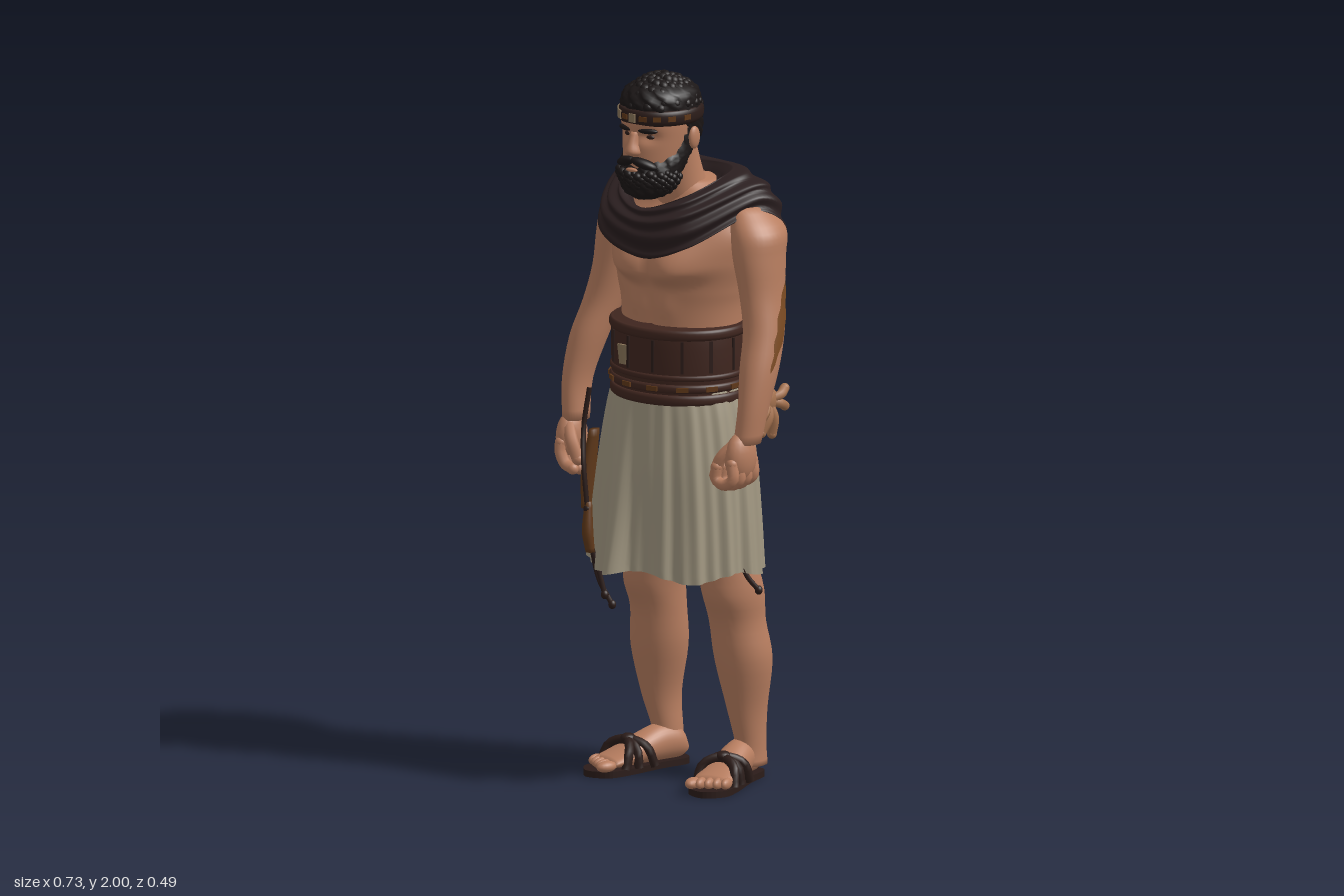
import * as THREE from 'three';
import { mergeGeometries } from 'three/addons/utils/BufferGeometryUtils.js';

const V = (x, y, z) => new THREE.Vector3(x, y, z);
const mat = (name, color, side = THREE.FrontSide) => {
  const m = new THREE.MeshStandardMaterial({ color, side });
  m.name = name;
  return m;
};
const bell = (d, w) => Math.exp(-(d * d) / (w * w));

// Smooth skin through elliptical rings [y, centreX, centreZ, radiusX, radiusZ], bottom to top.
function loft(rows, { n = 32, m = 28, mod, cap = true, a0 = 0, a1 = 0, t0 = 0, t1 = 1 } = {}) {
  const mid = new THREE.CatmullRomCurve3(rows.map(r => V(r[1], r[0], r[2])), false, 'catmullrom');
  const rad = new THREE.CatmullRomCurve3(rows.map(r => V(r[3], 0, r[4])), false, 'catmullrom');
  const full = a0 === a1, cols = full ? n : n + 1, pos = [], idx = [];
  for (let i = 0; i <= m; i++) {
    const t = t0 + (t1 - t0) * i / m, c = mid.getPoint(t), r = rad.getPoint(t);
    for (let j = 0; j < cols; j++) {
      const a = full ? j / n * Math.PI * 2 : a0 + (a1 - a0) * j / n;
      const p = V(c.x + r.x * Math.sin(a), c.y, c.z + r.z * Math.cos(a));
      if (mod) mod(p, a, t, c, r);
      pos.push(p.x, p.y, p.z);
    }
  }
  for (let i = 0; i < m; i++) for (let j = 0; j < n; j++) {
    const k = (j + 1) % cols, a = i * cols + j, b = i * cols + k;
    idx.push(a, b, a + cols, b, b + cols, a + cols);
  }
  if (cap && full) [0, m].forEach((i, top) => {
    const c = mid.getPoint(top ? t1 : t0), id = pos.length / 3;
    pos.push(c.x, c.y, c.z);
    for (let j = 0; j < n; j++) {
      const a = i * cols + j, b = i * cols + (j + 1) % cols;
      top ? idx.push(id, a, b) : idx.push(id, b, a);
    }
  });
  const g = new THREE.BufferGeometry();
  g.setAttribute('position', new THREE.Float32BufferAttribute(pos, 3));
  g.setIndex(idx);
  g.computeVertexNormals();
  return g;
}
const tube = (pts, r, seg = 14) => new THREE.TubeGeometry(
  new THREE.CatmullRomCurve3(pts.map(p => V(...p))), seg, r, 8);
const ball = (x, y, z, rx, ry, rz) => new THREE.SphereGeometry(1, 18, 12).scale(rx, ry, rz).translate(x, y, z);
const finger = (pts, r) => mergeGeometries([tube(pts, r), ball(...pts[pts.length - 1], r, r, r), ball(...pts[0], r, r, r)]);

export function createModel() {
  const root = new THREE.Group();
  const skin = mat('skin', 0xb87e60), hair = mat('black hair', 0x1b1616);
  const cloak = mat('dark cloak', 0x2b1f20, THREE.DoubleSide), linen = mat('grey linen', 0xa29882, THREE.DoubleSide);
  const leather = mat('belt leather', 0x40261f), dark = mat('sandal leather', 0x2b1c19);
  const brown = mat('brown leather', 0x5f3819), tan = mat('tan trim', 0x8a765a);
  const scar = mat('scar brown', 0x7a4a22, THREE.DoubleSide), charm = mat('charm tan', 0xa5724f);
  const add = (name, geo, m, parent = root) => {
    const o = new THREE.Mesh(geo, m);
    o.name = name;
    parent.add(o);
    return o;
  };

  // Torso with chest muscles, belly line and spine groove
  add('torso', loft([[1.02, .012, -.01, .18, .14], [1.3, .012, -.025, .182, .143], [1.4, .01, -.03, .2, .148],
    [1.48, .01, -.038, .222, .158], [1.56, .005, -.052, .235, .143], [1.63, 0, -.06, .19, .11], [1.69, 0, -.05, .09, .085]],
  { n: 72, m: 64, mod: (p, a) => {
    const f = Math.cos(a), x = p.x - .01, pec = THREE.MathUtils.smoothstep(p.y, 1.395 + x * x, 1.445 + x * x) * bell(p.y - 1.46, .1);
    if (f > 0) p.z += f * (.044 * bell(Math.abs(x) - .085, .078) * pec - .01 * bell(x, .014)
      + .007 * bell(Math.abs(x) - .05, .035) * bell(p.y - 1.35, .04));
    else p.z -= f * .018 * bell(x, .025);
  } }), skin);
  add('neck', loft([[1.6, 0, -.05, .1, .09], [1.7, 0, -.01, .08, .078], [1.83, 0, .03, .075, .073]]), skin);

  // Arms: the right one has its shoulder set in and back, and hangs lower
  const leftArm = [[1.0, .317, .065, .034, .044], [1.1, .323, .045, .039, .05], [1.2, .316, .012, .05, .061],
    [1.3, .304, -.022, .053, .064], [1.4, .283, -.04, .056, .073], [1.5, .266, -.048, .065, .085],
    [1.57, .253, -.06, .068, .088], [1.635, .212, -.065, .042, .058]];
  const rightArm = [[.97, -.318, .035, .034, .044], [1.08, -.325, .02, .038, .05], [1.2, -.308, -.01, .05, .061],
    [1.3, -.285, -.045, .053, .064], [1.4, -.26, -.065, .056, .073], [1.5, -.242, -.075, .064, .084],
    [1.57, -.226, -.083, .066, .086], [1.635, -.19, -.08, .04, .055]];
  add('leftArm', loft(leftArm), skin);
  add('rightArm', loft(rightArm), skin);
  // Slanted, tapering mark on the outside of the left arm
  add('armScar', loft(leftArm, { n: 8, m: 24, a0: -.3, a1: .3, t0: .28, t1: .64, mod: (p, a, t, c, r) => {
    const q = (t - .28) / .36, b = 1.36 + q * .72 + a * (Math.sin(q * Math.PI) + .15 * Math.sin(q * 25));
    p.set(c.x + (r.x + .004) * Math.sin(b), c.y, c.z + (r.z + .004) * Math.cos(b));
  } }), scar);

  // Left hand half closed, right hand hanging open
  for (const [s, side, x0, y0, z0] of [[1, 'left', .003, 0, 0], [-1, 'right', -.02, -.04, -.04]]) {
    const hand = new THREE.Group();
    hand.name = side + 'Hand';
    hand.position.set(x0, y0, z0);
    root.add(hand);
    add('palm', ball(s * .306, .962, .084, .036, .07, .055), skin, hand);
    for (let i = 0; i < 4; i++) {
      const z = .042 + i * .029, y = .885 + .005 * Math.abs(i - 1.5);
      add('finger', finger(s > 0
        ? [[.312, .95, z], [.318, y + .015, z + .004], [.292, y - .002, z + .008], [.262, y + .01, z + .008], [.262, y + .045, z + .006]]
        : [[-.308, .95, z], [-.305, y + .03, z + .004], [-.288, y, z + .004], [-.262, y - .01, z + .004]], .0165), skin, hand);
    }
    add('thumb', finger([[s * .3, 1.0, .105], [s * .27, .96, .128], [s * .25, .91, .125]], .0175), skin, hand);
  }

  // Legs, feet and sandals
  for (const [s, side, dx, ankle] of [[1, 'left', 0, .176], [-1, 'right', .035, .155]]) {
    add(side + 'Leg', loft([[.04, ankle, -.12, .042, .053], [.1, ankle, -.12, .04, .048], [.2, .17, -.112, .052, .062],
      [.34, .167, -.1, .08, .081], [.45, .158, -.085, .077, .08], [.54, .157, -.07, .082, .086],
      [.66, .137, -.045, .084, .088], [.9, .1, -.02, .075, .08]].map(r => [r[0], r[1] * s + dx, ...r.slice(2)]),
    { mod: (p, a) => { if (Math.cos(a) > 0) p.z += .014 * Math.cos(a) * bell(p.y - .53, .05); } }), skin);
    const foot = new THREE.Group();
    foot.name = side + 'Foot';
    foot.position.set(s > 0 ? .187 : -.14, 0, -.005);
    foot.rotation.y = s * .24;
    root.add(foot);
    add('footBody', loft([[-.165, 0, -.045, .025, .02], [-.14, 0, -.06, .042, .046], [-.08, 0, -.065, .045, .052],
      [-.01, 0, -.055, .048, .042], [.06, 0, -.04, .057, .025], [.11, 0, -.032, .054, .014]], { m: 18 }).rotateX(Math.PI / 2), skin, foot);
    for (let i = 0; i < 5; i++)
      add('toe', ball(s * (-.042 + i * .022), .031, .13 - i * .008, i ? .0125 : .019, .016, i ? .027 : .032), skin, foot);
    const outline = new THREE.Shape();
    outline.moveTo(0, .172);
    outline.splineThru([[.042, .15], [.045, .06], [.06, -.06], [.055, -.13], [0, -.168], [-.055, -.13], [-.06, -.06],
      [-.045, .06], [-.042, .15], [0, .172]].map(p => new THREE.Vector2(...p)));
    add('sole', new THREE.ExtrudeGeometry(outline, { depth: .018, bevelEnabled: false, curveSegments: 5 }).rotateX(-Math.PI / 2), dark, foot);
    for (const [z1, z2, h] of [[-.025, .075, .086], [.075, -.025, .088], [.03, .03, .084]])
      add('strap', tube([[-.058, .015, z1], [-.047, h * .78, z1 * .8 + z2 * .2], [0, h, (z1 + z2) / 2],
        [.047, h * .78, z1 * .2 + z2 * .8], [.058, .015, z2]], .013), dark, foot);
    add('knot', ball(0, .09, .025, .022, .014, .022), dark, foot);
  }

  // Pleated skirt with a fold kicked out in front and one behind
  add('skirt', loft([[.605, .008, 0, .25, .19], [.75, .01, -.003, .241, .184], [.9, .012, -.005, .228, .178],
    [1.04, .012, -.008, .209, .168], [1.13, .012, -.008, .19, .158]],
  { n: 200, m: 26, cap: false, mod: (p, a, t, c) => {
    const k = 1 - t, w = 1 + k * .05 * Math.sin(2 * a) ** 2
      + k ** .5 * .046 * (.6 * Math.sin(a * 17 + Math.sin(a * 3) * 2) + .4 * Math.sin(a * 31 + 1 + t * 2));
    p.x = c.x + (p.x - c.x) * w;
    p.z = c.z + (p.z - c.z) * w;
    p.z += Math.cos(a) > 0 ? .047 * k * k * Math.exp(-(((p.x + .045) / .041) ** 6)) : -.045 * k * bell(p.x - .05, .06);
    p.y += k ** 4 * .012 * Math.sin(a * 5 + 1);
  } }), linen);

  // Wide belt with rims, panel ridges and a studded strap
  const band = (name, y, h, rx, rz, m, cx = .013, cz = -.007) => add(name, loft([[y - h / 2, cx, cz, rx - .006, rz - .006],
    [y - h / 4, cx, cz, rx, rz], [y + h / 4, cx, cz, rx, rz], [y + h / 2, cx, cz, rx - .006, rz - .006]], { n: 56, m: 8 }), m);
  band('belt', 1.2, .2, .194, .168, leather);
  band('beltTopRim', 1.284, .03, .201, .175, leather);
  band('beltLowRim', 1.1, .03, .199, .173, leather);
  band('beltStrap', 1.133, .024, .2, .174, leather);
  band('beltMiddleRim', 1.163, .018, .199, .173, leather);
  const plate = (name, a, y, rx, rz, cx, cz, size, m) => {
    const o = add(name, new THREE.BoxGeometry(...size), m);
    o.position.set(cx + rx * Math.sin(a), y, cz + rz * Math.cos(a));
    o.rotation.y = Math.atan2(Math.sin(a) / rx, Math.cos(a) / rz);
  };
  for (let i = 0; i < 14; i++) {
    const a = (i + .5) / 14 * Math.PI * 2;
    plate('beltRidge', a, 1.222, .194, .168, .013, -.007, [.008, .09, .008], dark);
    plate('strapPlate', a, 1.133, .2, .174, .013, -.007, [.034, .013, .008], brown);
  }
  add('beltPatch', new THREE.CylinderGeometry(.02, .012, .055, 6).scale(1, 1, .25).translate(-.052, 1.212, .157), tan);

  // Draped cowl: rings from under the hem over the crest to the neck opening
  const rings = [
    [[0, 1.52, .12], [.12, 1.56, .1], [.23, 1.61, -.05], [.225, 1.55, -.13], [.03, 1.47, -.2], [-.13, 1.5, -.2], [-.22, 1.61, -.07], [-.14, 1.56, .09]],
    [[0, 1.49, .143], [.15, 1.535, .117], [.258, 1.62, -.05], [.26, 1.535, -.165], [.03, 1.45, -.222], [-.14, 1.475, -.228], [-.247, 1.615, -.08], [-.168, 1.535, .11]],
    [[0, 1.58, .163], [.14, 1.615, .12], [.238, 1.683, -.055], [.22, 1.655, -.16], [.02, 1.6, -.227], [-.155, 1.64, -.205], [-.23, 1.683, -.08], [-.148, 1.615, .12]],
    [[0, 1.63, .14], [.11, 1.665, .09], [.155, 1.71, -.03], [.13, 1.722, -.12], [.01, 1.715, -.16], [-.11, 1.722, -.13], [-.15, 1.71, -.04], [-.11, 1.665, .09]],
    [[0, 1.6, .11], [.085, 1.64, .07], [.112, 1.67, -.02], [.08, 1.685, -.08], [.01, 1.68, -.115], [-.065, 1.685, -.08], [-.1, 1.67, -.02], [-.085, 1.64, .07]],
  ].map(r => new THREE.CatmullRomCurve3(r.map(p => V(...p)), true, 'catmullrom'));
  add('cowl', loft([[0, 0, 0, 1, 1], [1, 0, 0, 1, 1]], { n: 80, m: 64, cap: false, mod: (p, a, t) => {
    const u = a / (Math.PI * 2);
    new THREE.CatmullRomCurve3(rings.map(r => r.getPoint(u)), false, 'catmullrom').getPoint(t, p);
    const fold = .007 * Math.sin(t * 46 + Math.sin(a + .5) * 2.5) * Math.sin(Math.PI * t);
    p.add(V(p.x, .05, p.z + .04).normalize().multiplyScalar(fold));
  } }), cloak);

  // Head, face and ears
  add('head', loft([[1.68, 0, .1, .05, .055], [1.74, 0, .085, .077, .085], [1.82, 0, .065, .094, .107],
    [1.89, 0, .06, .097, .113], [1.935, 0, .055, .075, .085], [1.96, 0, .055, .03, .035]],
  { n: 56, m: 48, mod: (p, a) => { // Eye sockets
    if (Math.cos(a) > 0) p.z -= .016 * bell(Math.abs(p.x) - .037, .026) * bell(p.y - 1.838, .017);
  } }), skin);
  add('nose', loft([[1.783, 0, .165, .016, .018], [1.795, 0, .172, .022, .028], [1.82, 0, .17, .014, .022],
    [1.85, 0, .163, .011, .014]], { n: 16, m: 12 }), skin);
  add('mouth', ball(0, 1.744, .18, .02, .006, .008), skin);
  for (const s of [-1, 1]) {
    add('ear', ball(s * .103, 1.825, .035, .011, .032, .021), skin);
    add('eye', ball(s * .037, 1.836, .145, .015, .007, .009), dark);
    add('eyebrow', ball(0, 0, 0, .029, .008, .01).rotateY(s * .35).translate(s * .04, 1.855, .159), hair);
    add('moustache', ball(0, 0, 0, .04, .014, .02).rotateZ(-s * .3).rotateY(s * .4).translate(s * .032, 1.763, .166), hair);
  }
  const rough = (p, a) => { p.z += .004 * Math.sin(a * 13 + p.y * 160); p.x += .003 * Math.sin(a * 17 - p.y * 190); };
  add('beard', loft([[1.655, 0, .115, .028, .032], [1.675, 0, .115, .067, .056], [1.72, 0, .105, .088, .078],
    [1.76, 0, .082, .096, .084], [1.8, 0, .055, .099, .07], [1.87, 0, .045, .1, .04]], { n: 48, mod: rough }), hair);
  add('hair', loft([[1.79, 0, .005, .06, .05], [1.82, 0, .005, .085, .072], [1.87, 0, .035, .104, .1], [1.915, 0, .053, .106, .115],
    [1.955, 0, .053, .095, .104], [1.986, 0, .053, .04, .05]], { n: 48, mod: rough }), hair);

  // Curls spread evenly over scalp and beard
  const curls = [];
  for (let i = 0; i < 420; i++) {
    const h = 1 - 2 * (i + .5) / 420, q = Math.sqrt(1 - h * h), a = i * 2.39996;
    const x = q * Math.sin(a), z = q * Math.cos(a), r = .013 + .003 * Math.sin(i * 7);
    if (h > .22 || (z < -.5 && h > -.8))
      curls.push(new THREE.IcosahedronGeometry(r, 1).translate(x * .098, 1.895 + h * .091, .052 + z * .111));
    if (h < .1 && z > -.3)
      curls.push(new THREE.IcosahedronGeometry(r * .8, 1).translate(x * .088, 1.73 + h * .066, .1 + z * .08));
  }
  add('curls', mergeGeometries(curls), hair);
  band('headband', 1.89, .042, .112, .125, dark, 0, .053);
  for (const [a, m] of [[-1.05, tan], [-.8, tan], [-.55, tan], [-.25, brown], [0, tan], [.3, brown], [.65, brown], [1, brown], [1.4, brown]])
    plate('headbandPlate', a, 1.89, .112, .125, 0, .053, [.022, m === tan ? .024 : .014, .006], m);

  // Hanging pouches, tassels and cords
  add('pouch', loft([[.74, -.236, .085, .014, .022], [.84, -.236, .08, .017, .026], [.96, -.224, .07, .012, .018]], { n: 16, m: 12 }), brown);
  add('tassel', loft([[.64, -.158, .168, .013, .013], [.7, -.163, .173, .016, .016], [.78, -.168, .163, .01, .01]], { n: 12, m: 10 }), brown);
  for (const c of [[[-.2, 1.09, .12], [-.208, .98, .135], [-.185, .88, .163], [-.168, .76, .168]],
    [[-.17, .66, .15], [-.15, .56, .14], [-.115, .49, .125]],
    [[-.155, .64, .16], [-.14, .58, .15], [-.125, .52, .145]],
    [[.085, .62, -.19], [.045, .53, -.195], [.008, .445, -.195]],
    [[.008, .445, -.195], [.03, .415, -.21], [.05, .39, -.222]],
    [[.24, .64, 0], [.255, .6, -.01], [.275, .56, -.035]]]) {
    add('cord', tube(c, .007), dark);
    add('cordKnot', ball(...c[c.length - 1], .011, .013, .011), dark);
  }

  // Hand-shaped charm tied to the left hip
  add('charmWrist', finger([[.21, 1.12, -.05], [.235, 1.115, -.08], [.25, 1.09, -.1]], .019), charm);
  add('charmPalm', ball(.252, 1.08, -.1, .022, .038, .038), charm);
  for (const [y, z] of [[1.105, -.165], [1.055, -.165], [.985, -.11], [.995, -.065], [1.02, -.03]])
    add('charmFinger', finger([[.25, 1.08, -.1], [.268, (y + 1.08) / 2, z * .5 - .055], [.26, y, z]], .0135), charm);
  return root;
}
